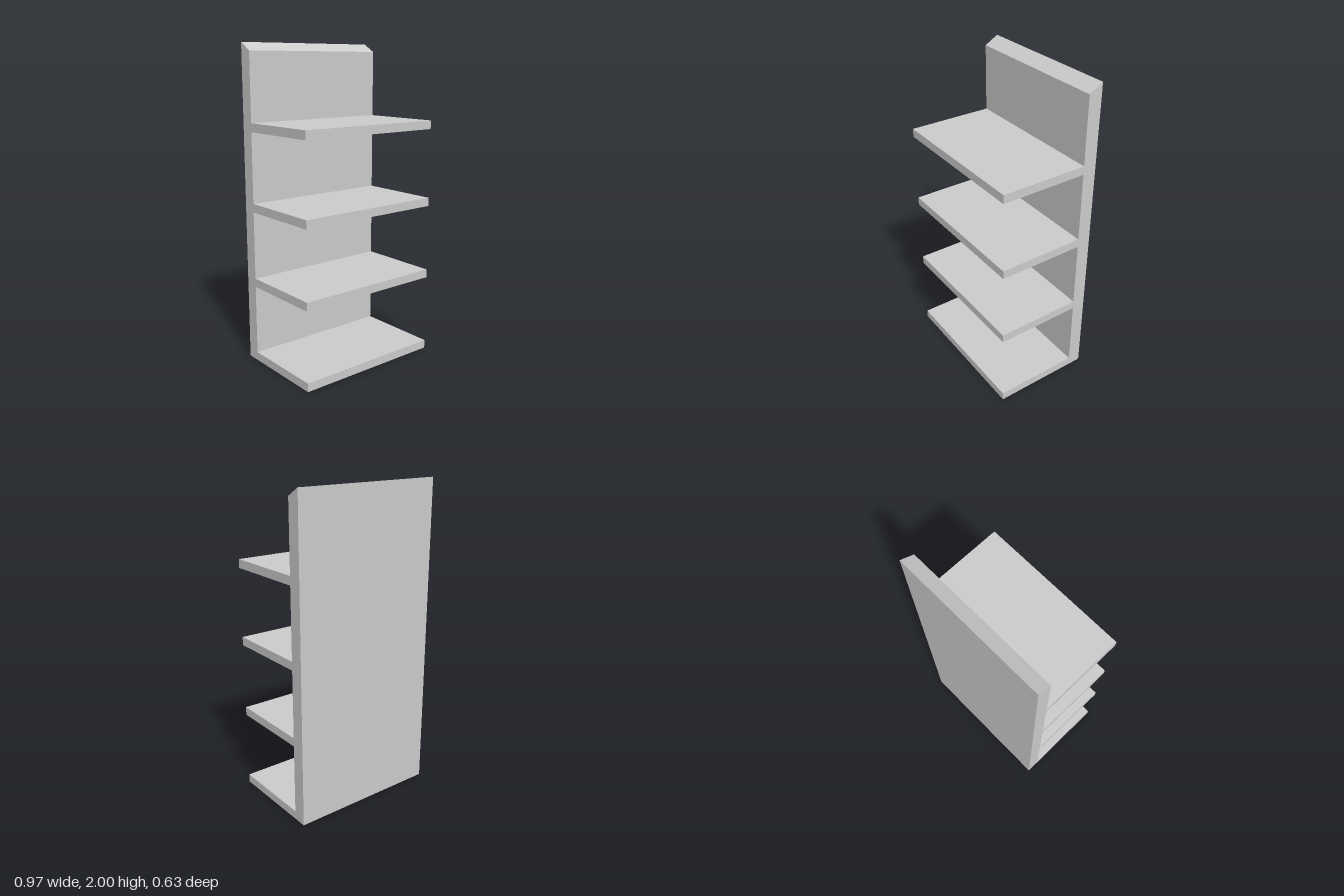
import * as THREE from 'three';

const WIDTH = 0.974;
const BACK = -0.317, PANEL_FRONT = -0.23, FRONT = 0.317;

export function createModel() {
  const group = new THREE.Group();
  group.name = 'shelfUnit';
  const material = new THREE.MeshStandardMaterial({ color: 0xcccccc, flatShading: true });

  // Back panel: side profile (z, y) with a sloped top, extruded across the width
  const profile = new THREE.Shape([
    new THREE.Vector2(BACK, 0),
    new THREE.Vector2(PANEL_FRONT, 0),
    new THREE.Vector2(PANEL_FRONT, 1.95),
    new THREE.Vector2(BACK, 2),
  ]);
  const panelGeometry = new THREE.ExtrudeGeometry(profile, { depth: WIDTH, bevelEnabled: false });
  panelGeometry.translate(0, 0, -WIDTH / 2).rotateY(-Math.PI / 2);
  const panel = new THREE.Mesh(panelGeometry, material);
  panel.name = 'backPanel';
  group.add(panel);

  // Shelves, from the base upwards, butting against the panel
  const thickness = 0.054;
  const depth = FRONT - PANEL_FRONT;
  const shelfGeometry = new THREE.BoxGeometry(WIDTH, thickness, depth);
  [0, 0.497, 0.978, 1.472].forEach((bottom, i) => {
    const shelf = new THREE.Mesh(shelfGeometry, material);
    shelf.name = i === 0 ? 'baseShelf' : `shelf${i}`;
    shelf.position.set(0, bottom + thickness / 2, (FRONT + PANEL_FRONT) / 2);
    group.add(shelf);
  });

  return group;
}
